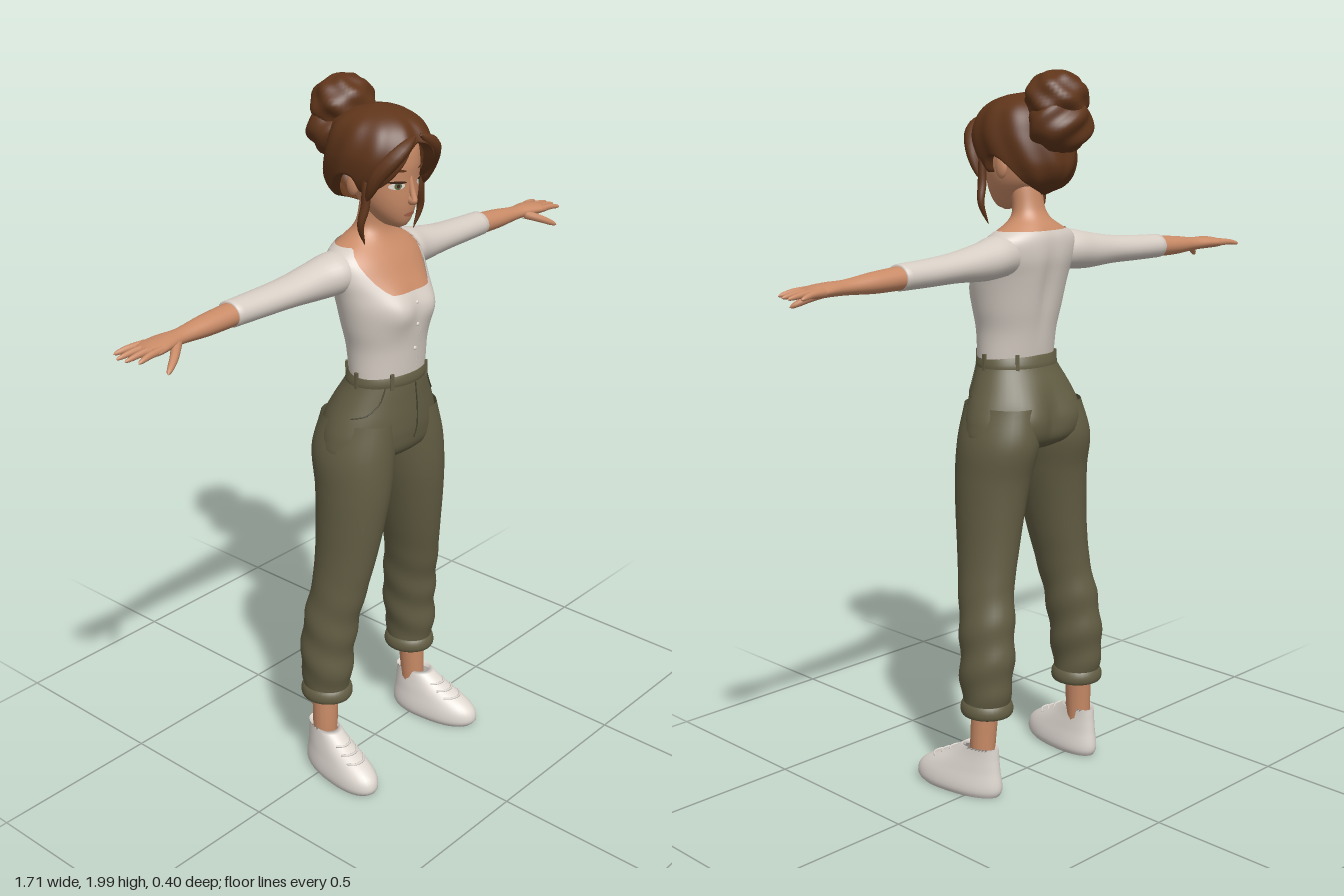
import * as THREE from 'three';

const material = (name, color, double) => {
  const m = new THREE.MeshStandardMaterial({ color });
  m.name = name;
  if (double) m.side = THREE.DoubleSide;
  return m;
};

// Smooth interpolation of table rows; the first column is the key.
const spline = (rows) => (k) => {
  const n = rows.length;
  k = Math.min(Math.max(k, rows[0][0]), rows[n - 1][0]);
  let i = 0;
  while (i < n - 2 && k > rows[i + 1][0]) i++;
  const h = rows[i + 1][0] - rows[i][0], t = (k - rows[i][0]) / h;
  const slope = (j, c) => {
    const p = rows[Math.max(j - 1, 0)], q = rows[Math.min(j + 1, n - 1)];
    return (q[c] - p[c]) / (q[0] - p[0]);
  };
  return rows[i].slice(1).map((v, c0) => {
    const c = c0 + 1, w = rows[i + 1][c], t2 = t * t, t3 = t2 * t;
    return v * (2 * t3 - 3 * t2 + 1) + w * (3 * t2 - 2 * t3)
      + h * slope(i, c) * (t3 - 2 * t2 + t) + h * slope(i + 1, c) * (t3 - t2);
  });
};

// Surface closed around angle a, running from t = 0 to t = 1.
function surface(fn, nu = 32, nv = 24) {
  const pos = [], idx = [];
  for (let j = 0; j <= nv; j++)
    for (let i = 0; i < nu; i++) pos.push(...fn(i / nu * Math.PI * 2, j / nv));
  for (let j = 0; j < nv; j++)
    for (let i = 0; i < nu; i++) {
      const a = j * nu + i, b = j * nu + (i + 1) % nu;
      idx.push(a, b, b + nu, a, b + nu, a + nu);
    }
  const g = new THREE.BufferGeometry();
  g.setAttribute('position', new THREE.Float32BufferAttribute(pos, 3));
  g.setIndex(idx);
  g.computeVertexNormals();
  return g;
}

// Tapered round strand through points; radius(t) sets its thickness.
function strand(points, radius, nu = 10, nv = 14) {
  const curve = new THREE.CatmullRomCurve3(points.map((p) => new THREE.Vector3(...p)));
  const f = curve.computeFrenetFrames(nv);
  return surface((a, t) => {
    const j = Math.round(t * nv), r = radius(t);
    return curve.getPoint(t).addScaledVector(f.normals[j], r * Math.cos(a))
      .addScaledVector(f.binormals[j], r * Math.sin(a)).toArray();
  }, nu, nv);
}

const lerp = THREE.MathUtils.lerp, smooth = THREE.MathUtils.smoothstep;
const fold = (a) => (a > Math.PI ? 2 * Math.PI - a : Math.abs(a));
const bell = (d, w) => Math.exp(-((d / w) ** 2));

// Elliptical ring from [half width, front z, back z]
const ring = (f, a, y, grow = 0) => {
  const [w, zf, zb] = f(y);
  return [(w + grow) * Math.sin(a), y, (zf + zb) / 2 + ((zf - zb) / 2 + grow) * Math.cos(a)];
};

const torso = spline([
  [1.225, .116, .13, -.042], [1.3, .118, .137, -.055], [1.36, .13, .143, -.068],
  [1.42, .14, .142, -.08], [1.46, .146, .128, -.088], [1.5, .155, .105, -.095],
  [1.54, .153, .08, -.095], [1.565, .13, .06, -.09], [1.585, .09, .045, -.078],
  [1.605, .06, .036, -.062], [1.63, .048, .034, -.048], [1.69, .046, .045, -.035]]);
const hips = spline([
  [.962, .03, .03, -.02], [.975, .14, .08, -.06], [1, .192, .125, -.1], [1.05, .192, .14, -.112],
  [1.1, .175, .142, -.104], [1.15, .15, .14, -.085], [1.2, .125, .137, -.058], [1.24, .112, .13, -.042]]);
const leg = spline([ // y, inner x, outer x, front z, back z
  [.27, .124, .247, .048, -.09], [.32, .118, .255, .055, -.1], [.4, .11, .252, .06, -.103],
  [.5, .1, .243, .072, -.095], [.6, .085, .227, .092, -.08], [.7, .062, .217, .11, -.08],
  [.8, .04, .213, .125, -.085], [.9, .018, .21, .135, -.095], [1, .002, .203, .136, -.115], [1.1, .004, .17, .13, -.1]]);
const sleeve = spline([ // x, centre y, half height, centre z, half depth
  [.08, 1.51, .05, -.02, .05], [.14, 1.51, .056, -.02, .066], [.2, 1.503, .051, -.028, .058],
  [.3, 1.497, .04, -.032, .05], [.4, 1.493, .036, -.037, .045], [.5, 1.491, .034, -.04, .04]]);
const forearm = spline([
  [.46, 1.491, .031, -.04, .036], [.58, 1.486, .027, -.039, .033], [.67, 1.483, .019, -.037, .026],
  [.72, 1.483, .018, -.036, .035], [.76, 1.481, .016, -.034, .041], [.785, 1.479, .011, -.034, .036], [.795, 1.478, .001, -.034, .01]]);
const head = spline([
  [1.622, .004, .085, .07], [1.632, .028, .104, .03], [1.66, .055, .116, 0], [1.7, .078, .122, -.04],
  [1.75, .09, .123, -.06], [1.8, .092, .127, -.08], [1.85, .085, .115, -.08], [1.9, .045, .065, -.04]]);
const hair = spline([
  [1.665, .06, 0, -.06], [1.7, .095, .06, -.115], [1.74, .118, .13, -.14], [1.78, .129, .155, -.14],
  [1.83, .13, .16, -.13], [1.88, .114, .138, -.115], [1.91, .086, .103, -.085], [1.928, .045, .055, -.035], [1.935, .002, .012, .008]]);
const hairline = spline([
  [0, 1.855], [.3, 1.84], [.5, 1.8], [.7, 1.762], [.9, 1.735], [1.15, 1.73],
  [1.45, 1.772], [1.75, 1.765], [2.1, 1.705], [Math.PI, 1.668]]);
const shoe = spline([
  [0, .052, .185, -.075], [.012, .059, .198, -.083], [.03, .06, .2, -.085], [.05, .057, .192, -.083],
  [.07, .052, .168, -.08], [.09, .047, .13, -.078], [.11, .042, .09, -.076], [.13, .038, .058, -.075], [.145, .036, .035, -.074]]);

const torsoAt = (a, y, grow) => {
  const p = ring(torso, a, y, grow);
  if (Math.cos(a) > 0) p[2] += .021 * bell(Math.abs(p[0]) - .065, .05) * bell(y - 1.41, .05) * Math.cos(a);
  else p[2] += .012 * bell(p[0], .025) * bell(y - 1.42, .12);
  return p;
};
const hipsAt = (a, y, grow) => {
  const p = ring(hips, a, y, grow);
  if (Math.cos(a) < 0) p[2] -= .014 * (bell(Math.abs(p[0]) - .08, .05) - bell(p[0], .025)) * bell(y - 1.06, .07);
  return p;
};
const shoeAt = (s, a, y, k = 1, grow = 0) => {
  const [w, zf, zb] = shoe(y), c = Math.cos(a);
  const z = (zf + zb) / 2 + k * ((zf - zb) / 2 + grow) * Math.sign(c) * Math.abs(c) ** .85;
  return [s * (.207 + .12 * z) + k * (w + grow) * Math.sin(a) * (1 + .08 * c), y + grow, z];
};
const neckline = (a) => 1.46 + .115 * smooth(fold(a), .45, 1.15);

export function createModel() {
  const model = new THREE.Group();
  model.name = 'standingWoman';
  const skin = material('skin', 0xc98b67), hairBrown = material('hair brown', 0x5f351a, true);
  const cream = material('shirt cream', 0xd6cdc4, true), olive = material('trouser olive', 0x625d43, true);
  const shoeWhite = material('shoe white', 0xdfd8d1, true), dark = material('seam olive', 0x45422f);
  const lash = material('lash brown', 0x3a2418), white = material('eye white', 0xe6ddd5);
  const iris = material('iris green', 0x5d6a48), lip = material('lip rose', 0xb0664f);
  const add = (name, geo, mat) => {
    const m = new THREE.Mesh(geo, mat);
    m.name = name;
    model.add(m);
    return m;
  };

  // Shirt body, chest and neck
  add('shirtBody', surface((a, t) => torsoAt(a, lerp(1.225, neckline(a), t), .004), 64, 36), cream);
  add('chestAndNeck', surface((a, t) => torsoAt(a, lerp(neckline(a) - .015, 1.69, t), 0), 64, 24), skin);
  for (const y of [1.3, 1.37, 1.43]) {
    const b = add('shirtButton', new THREE.SphereGeometry(.006, 10, 8), white);
    b.position.set(...torsoAt(0, y, .004));
    b.scale.z = .5;
  }
  add('placket', strand([1.24, 1.3, 1.37, 1.45].map((y) => { const p = torsoAt(0, y, .003); return [.012, p[1], p[2]]; }), () => .002, 6), cream);

  // Trouser hips, waistband, seams and belt loops
  add('trouserHips', surface((a, t) => hipsAt(a, lerp(.962, 1.24, t), 0), 48, 28), olive);
  add('waistband', surface((a, t) => hipsAt(a, lerp(1.2, 1.236, t), .004 * Math.sin(Math.PI * t) ** .5), 48, 6), olive);
  const seam = (name, pts) => add(name, strand(pts.map(([a, y]) => hipsAt(a, y, .001)), () => .002, 6, 16), dark);
  seam('flySeam', [[.06, 1.2], [.07, 1.12], [.05, 1.07], [0, 1.04]]);
  for (const s of [-1, 1]) {
    seam('pocketSeam', [[s * .75, 1.2], [s * .8, 1.16], [s * 1, 1.13], [s * 1.3, 1.12]]);
    for (const a of [.6, 1.57, 2.5]) {
      const loop = add('beltLoop', new THREE.BoxGeometry(.01, .045, .008), olive);
      loop.position.set(...hipsAt(s * a, 1.217, .005));
      loop.rotation.y = s * a;
    }
  }

  for (const s of [-1, 1]) {
    // Trouser leg with a rolled cuff
    const legAt = (a, y, grow) => {
      const [xi, xo, zf, zb] = leg(y);
      const crease = .003 * Math.sin(y * 55 + 2 * Math.cos(a)) * smooth(.7 - y, 0, .3);
      return [s * (xi + xo) / 2 + ((xo - xi) / 2 + grow + crease) * Math.sin(a), y,
        (zf + zb) / 2 + ((zf - zb) / 2 + grow + crease) * Math.cos(a)];
    };
    add('trouserLeg', surface((a, t) => legAt(a, lerp(.27, 1.1, t), 0), 32, 56), olive);
    add('trouserCuff', surface((a, t) => {
      const p = legAt(a, .27, lerp(-.03, .009, Math.sin(Math.PI * Math.min(t * 1.15, 1)) ** .45));
      p[1] = lerp(.236, .284, smooth(t, .15, .9));
      return p;
    }, 32, 12), olive);

    // Ankle and shoe
    add('ankle', strand([[s * .2, .06, -.02], [s * .198, .15, -.02], [s * .19, .28, -.025]], (t) => .033 + .006 * t, 16), skin);
    add('shoeUpper', surface((a, t) => (t < 1 ? shoeAt(s, a, .145 * t / .95) : shoeAt(s, a, .13, .75)), 36, 20), shoeWhite);
    add('shoeSole', surface((a, t) => shoeAt(s, a, 0, t), 36, 2), dark);
    for (const y of [.085, .1, .115])
      add('shoelace', strand([-.75, -.35, 0, .35, .75].map((a) => shoeAt(s, a, y, 1, .001)), () => .0035, 6), shoeWhite);

    // Sleeve, forearm and hand
    const armAt = (f, a, x, k = 1) => {
      const [cy, ry, cz, rz] = f(x);
      return [s * x, cy + k * ry * Math.cos(a), cz + s * k * rz * Math.sin(a)];
    };
    add('sleeve', surface((a, t) => armAt(sleeve, a, lerp(.08, .5, Math.min(t / .96, 1)), t < 1 ? 1 : .8), 28, 25), cream);
    add('forearm', surface((a, t) => armAt(forearm, a, lerp(.46, .795, t)), 24, 30), skin);
    const tip = (r) => (t) => r * (1 - .45 * t) * Math.sqrt(Math.max(0, 1 - t ** 8));
    for (const [z0, z1, x1] of [[-.064, -.083, .838], [-.045, -.053, .856], [-.024, -.026, .853], [-.005, .006, .838]])
      add('finger', strand([[s * .755, 1.482, z0], [s * .8, 1.481, lerp(z0, z1, .5)], [s * x1, 1.474, z1]], tip(.011)), skin);
    add('thumb', strand([[s * .695, 1.478, -.02], [s * .735, 1.46, .014], [s * .78, 1.437, .04]], tip(.014)), skin);

    // Ear, fringe lock and hanging wisp
    const ear = add('ear', new THREE.SphereGeometry(.03, 14, 10), skin);
    ear.position.set(s * .092, 1.742, .005);
    ear.scale.set(.35, 1, .65);
    add('fringeLock', strand([[s * .012, 1.872, .143], [s * .065, 1.838, .138], [s * .104, 1.78, .1], [s * .112, 1.715, .07]],
      (t) => .004 + .018 * Math.sin(Math.PI * t) ** .7), hairBrown);
    add('hangingWisp', strand([[s * .108, 1.77, .062], [s * .108, 1.7, .062], [s * .119, 1.645, .055], [s * .096, 1.588, .05]],
      (t) => .012 * Math.sin(Math.PI * lerp(.25, 1, t)) ** .8), hairBrown);
  }

  // Head, nose and painted face details that follow the face
  add('head', surface((a, t) => ring(head, a, lerp(1.622, 1.9, t)), 40, 32), skin);
  const nose = add('nose', new THREE.SphereGeometry(.013, 14, 10), skin);
  nose.position.set(0, 1.702, .124);
  nose.scale.set(.85, 1, 1.45);
  add('noseBridge', strand([[0, 1.765, .119], [0, 1.73, .126], [0, 1.702, .134]], (t) => .006 + .003 * t), skin);
  const patch = (name, cx, cy, rx, ry, off, mat, tilt = 0) => add(name, surface((a, t) => {
    const x = cx + rx * t * Math.sin(a), y = cy + ry * t * Math.cos(a) + tilt * (x - cx);
    const [w, zf, zb] = head(y), q = x / w;
    return [x, y, (zf + zb) / 2 + (zf - zb) / 2 * Math.sqrt(Math.max(0, 1 - q * q)) + off];
  }, 20, 4), mat);
  for (const s of [-1, 1]) {
    patch('eyeWhite', s * .043, 1.745, .02, .009, .002, white);
    patch('iris', s * .042, 1.745, .009, .0095, .003, iris);
    patch('pupil', s * .042, 1.745, .004, .005, .004, lash);
    patch('lashes', s * .044, 1.755, .023, .0035, .005, lash, s * .08);
    patch('eyebrow', s * .044, 1.785, .022, .0035, .003, hairBrown, s * .1);
  }
  patch('lips', 0, 1.664, .02, .006, .003, lip);

  // Swept hair with a centre parting, folded in along the hairline
  add('hairCap', surface((a, t) => {
    const m = fold(a), y0 = hairline(m)[0], y = lerp(y0, 1.935, Math.max(0, (t - .04) / .96));
    const p = ring(hair, a, y);
    let k = 1 + .018 * Math.sin(11 * m + 24 * (y - 1.7)) * smooth(1.93 - y, 0, .04);
    if (m < 1.5) k -= .05 * bell(p[0], .018) * smooth(1.93 - y, 0, .05);
    if (t === 0) k *= .82;
    return [p[0] * k, p[1], .01 + (p[2] - .01) * k];
  }, 96, 25), hairBrown);

  // Twisted bun in two coils
  const coil = (name, y, z, rx, ry, rz, twist) => {
    const m = add(name, surface((a, t) => {
      const v = (t - .5) * Math.PI, c = Math.cos(v);
      const k = 1 + .055 * c * Math.sin(5 * a + twist * v) + .03 * c * Math.sin(3 * a - 7 * v);
      return [rx * k * c * Math.sin(a), ry * k * Math.sin(v), rz * k * c * Math.cos(a)];
    }, 48, 28), hairBrown);
    m.position.set(0, y, z);
  };
  coil('bunTop', 1.917, -.108, .088, .077, .08, 6);
  coil('bunBase', 1.855, -.122, .098, .076, .072, -5);
  return model;
}
